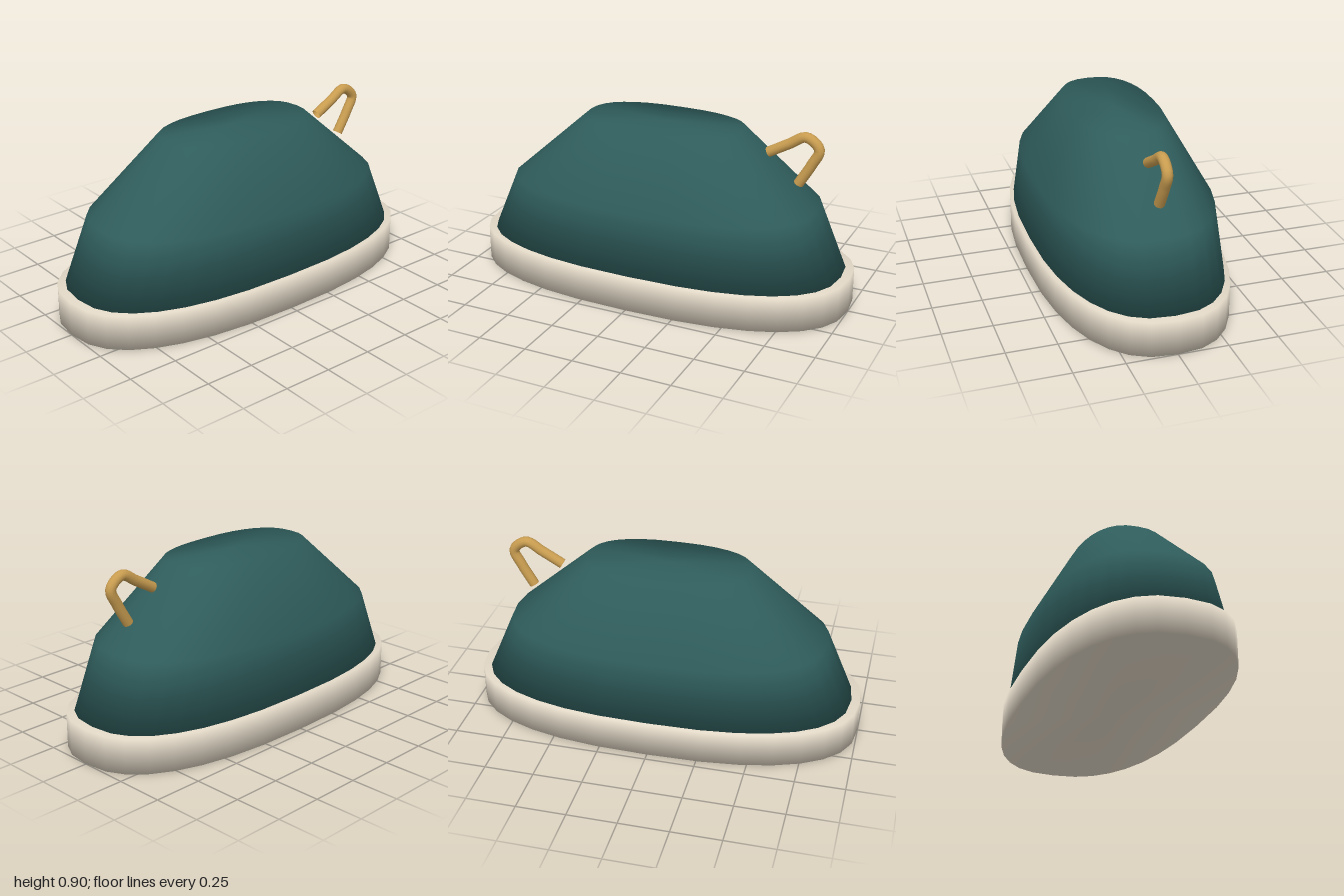
import * as THREE from 'three';

const SIDES = 32;

// Closed smooth loft through rounded-oval rings, each given as [y, halfWidth, halfLength]
function loft(rings, power = 2.5) {
  const pos = [], index = [];
  const bend = (v) => Math.sign(v) * Math.pow(Math.abs(v), 2 / power);
  for (const [y, rx, rz] of rings) {
    for (let i = 0; i < SIDES; i++) {
      const t = (i / SIDES) * Math.PI * 2;
      pos.push(rx * bend(Math.cos(t)), y, rz * bend(Math.sin(t)));
    }
  }
  for (let r = 0; r < rings.length - 1; r++) {
    for (let i = 0; i < SIDES; i++) {
      const j = (i + 1) % SIDES;
      const a = r * SIDES + i, b = r * SIDES + j;
      index.push(a, a + SIDES, b, b, a + SIDES, b + SIDES);
    }
  }
  // Flat caps, sharing the rim vertices so the edges shade softly
  const bottom = pos.length / 3, top = bottom + 1;
  const last = (rings.length - 1) * SIDES;
  pos.push(0, rings[0][0], 0, 0, rings[rings.length - 1][0], 0);
  for (let i = 0; i < SIDES; i++) {
    const j = (i + 1) % SIDES;
    index.push(bottom, i, j, top, last + j, last + i);
  }
  const geo = new THREE.BufferGeometry();
  geo.setAttribute('position', new THREE.Float32BufferAttribute(pos, 3));
  geo.setIndex(index);
  geo.computeVertexNormals();
  return geo;
}

export function createModel() {
  const model = new THREE.Group();
  model.name = 'slipper';

  const mat = (name, color) => {
    const m = new THREE.MeshStandardMaterial({ color });
    m.name = name;
    return m;
  };
  const teal = mat('teal', 0x2f5d5c);
  const cream = mat('cream', 0xe0d6c5);
  const gold = mat('gold', 0xc99d50);
  gold.side = THREE.DoubleSide;

  const add = (name, geo, material) => {
    const mesh = new THREE.Mesh(geo, material);
    mesh.name = name;
    model.add(mesh);
  };

  // Thick oval sole
  add('sole', loft([[0, 0.462, 1], [0.178, 0.462, 1]]), cream);

  // Upper, tapering to a flat top
  add('upper', loft([[0.16, 0.445, 0.963], [0.5, 0.416, 0.815], [0.852, 0.221, 0.417]]), teal);

  // Bent pull loop at the back
  const path = [[0.77, -0.556], [0.828, -0.66], [0.873, -0.745], [0.82, -0.812], [0.74, -0.778], [0.632, -0.715]];
  const curve = new THREE.CatmullRomCurve3(path.map(([y, z]) => new THREE.Vector3(0, y, z)));
  add('pullLoop', new THREE.TubeGeometry(curve, 32, 0.026, 12), gold);

  return model;
}
